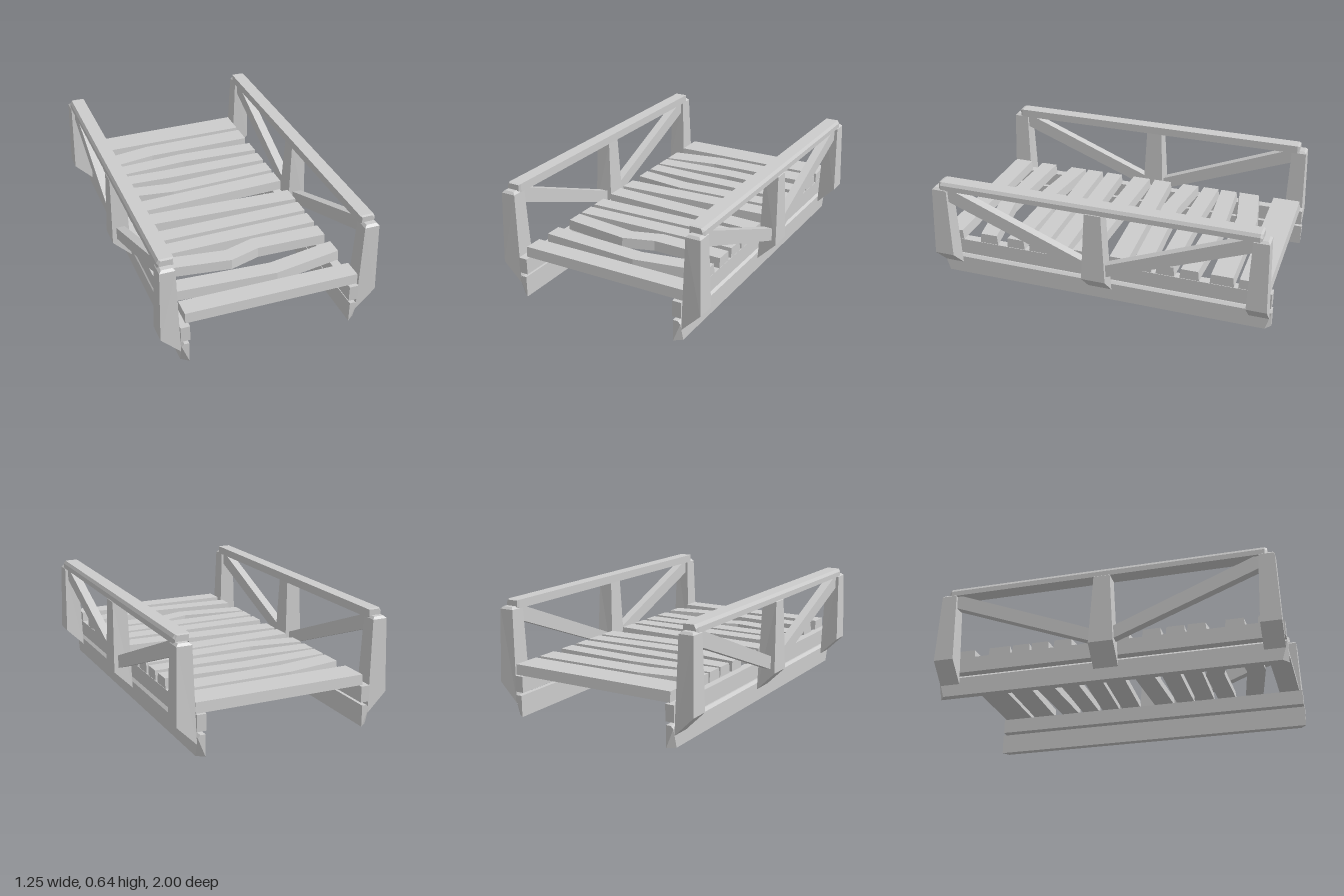
import * as THREE from 'three';

const material = new THREE.MeshStandardMaterial({ color: 0xcccccc, flatShading: true, side: THREE.DoubleSide });

// Closed solid through a list of convex cross-sections, each a ring of [x, y, z]
function loft(name, sections) {
  const tris = [];
  const n = sections[0].length;
  for (let s = 0; s < sections.length - 1; s++) {
    for (let i = 0; i < n; i++) {
      const a = sections[s][i], b = sections[s][(i + 1) % n];
      const c = sections[s + 1][(i + 1) % n], d = sections[s + 1][i];
      tris.push([a, b, c], [a, c, d]);
    }
  }
  const first = sections[0], last = sections[sections.length - 1];
  for (let i = 1; i < n - 1; i++) {
    tris.push([first[0], first[i + 1], first[i]], [last[0], last[i], last[i + 1]]);
  }
  // Turn the faces outward if the enclosed volume comes out negative
  let volume = 0;
  const v = (p) => new THREE.Vector3(...p);
  for (const [a, b, c] of tris) volume += v(a).dot(v(b).cross(v(c)));
  if (volume < 0) tris.forEach((t) => t.reverse());

  const geometry = new THREE.BufferGeometry();
  geometry.setAttribute('position', new THREE.Float32BufferAttribute(tris.flat(2), 3));
  geometry.computeVertexNormals();
  const mesh = new THREE.Mesh(geometry, material);
  mesh.name = name;
  return mesh;
}

// Plank following [x, z] points, slightly wider at its underside
function plank(width, path) {
  const h = width / 2, flare = 0.006;
  return loft('deckPlank', path.map(([x, z]) => [
    [x, 0.235, z - h - flare], [x, 0.235, z + h + flare],
    [x, 0.293, z + h], [x, 0.293, z - h],
  ]));
}

// Tapered post with a slanted foot and a bevelled top
function post(side, z, topHalf, footHalf) {
  const ring = (xIn, yIn, xOut, yOut, h) => [
    [side * xIn, yIn, z - h], [side * xOut, yOut, z - h],
    [side * xOut, yOut, z + h], [side * xIn, yIn, z + h],
  ];
  return loft('railPost', [
    ring(0.513, 0.07, 0.624, 0.18, footHalf),
    ring(0.53, 0.596, 0.615, 0.596, topHalf),
    ring(0.543, 0.609, 0.602, 0.609, topHalf - 0.012),
  ]);
}

// Everything on one side of the bridge
function createSide(side) {
  const group = new THREE.Group();
  group.name = side > 0 ? 'leftSide' : 'rightSide';

  // Upper beam carrying the planks
  group.add(loft('upperBeam', [-0.995, 0.995].map((z) => [
    [side * 0.463, 0.14, z], [side * 0.515, 0.14, z],
    [side * 0.515, 0.232, z], [side * 0.463, 0.232, z],
  ])));

  // Ground beam: chamfered top edge, ends cut back at the lower outer corner
  group.add(loft('groundBeam', [-1, 1].map((z) => [
    [side * 0.47, 0, z], [side * 0.513, 0, z * 0.968],
    [side * 0.513, 0.108, z], [side * 0.498, 0.123, z], [side * 0.47, 0.123, z],
  ])));

  // Posts
  group.add(post(side, -0.932, 0.044, 0.058));
  group.add(post(side, 0, 0.048, 0.071));
  group.add(post(side, 0.932, 0.044, 0.058));

  // Handrail with a chamfered outer edge and tapered ends
  const railRing = (z, inset) => [
    [side * (0.523 + inset), 0.597 + inset, z], [side * (0.612 - inset), 0.597 + inset, z],
    [side * (0.612 - inset), 0.627 - inset, z], [side * (0.601 - inset), 0.645 - inset / 2, z],
    [side * (0.523 + inset), 0.645 - inset / 2, z],
  ];
  group.add(loft('handrail', [
    railRing(-0.935, 0.008), railRing(-0.922, 0), railRing(0.922, 0), railRing(0.935, 0.008),
  ]));

  // Diagonal braces from the end posts down to the middle post
  const brace = [[0.91, 0.53], [0.91, 0.598], [0.86, 0.598], [0.04, 0.27], [0.04, 0.193]];
  for (const end of [-1, 1]) {
    group.add(loft('diagonalBrace', [0.545, 0.597].map((x) =>
      brace.map(([z, y]) => [side * x, y, end * z]))));
  }
  return group;
}

export function createModel() {
  const model = new THREE.Group();
  model.name = 'footbridge';
  model.add(createSide(1), createSide(-1));

  // Deck of uneven planks, some of them bent
  const L = -0.48, R = 0.516;
  const planks = [
    [0.165, [[L, -0.89], [R, -0.895]]],
    [0.125, [[L, -0.652], [-0.15, -0.708], [R, -0.715]]],
    [0.1, [[L, -0.52], [0.02, -0.55], [R, -0.53]]],
    [0.097, [[L, -0.403], [-0.13, -0.39], [R, -0.39]]],
    [0.1, [[L, -0.267], [-0.16, -0.225], [R, -0.255]]],
    [0.11, [[L, -0.078], [R, -0.118]]],
    [0.11, [[L, 0.066], [R, 0.108]]],
    [0.1, [[L, 0.255], [R, 0.247]]],
    [0.1, [[L, 0.39], [R, 0.378]]],
    [0.1, [[L, 0.51], [-0.08, 0.562], [0.1, 0.508], [R, 0.518]]],
    [0.1, [[L, 0.722], [0.11, 0.757], [R, 0.688]]],
    [0.11, [[L, 0.907], [R, 0.915]]],
  ];
  const deck = new THREE.Group();
  deck.name = 'deck';
  planks.forEach(([width, path]) => deck.add(plank(width, path)));
  model.add(deck);
  return model;
}
